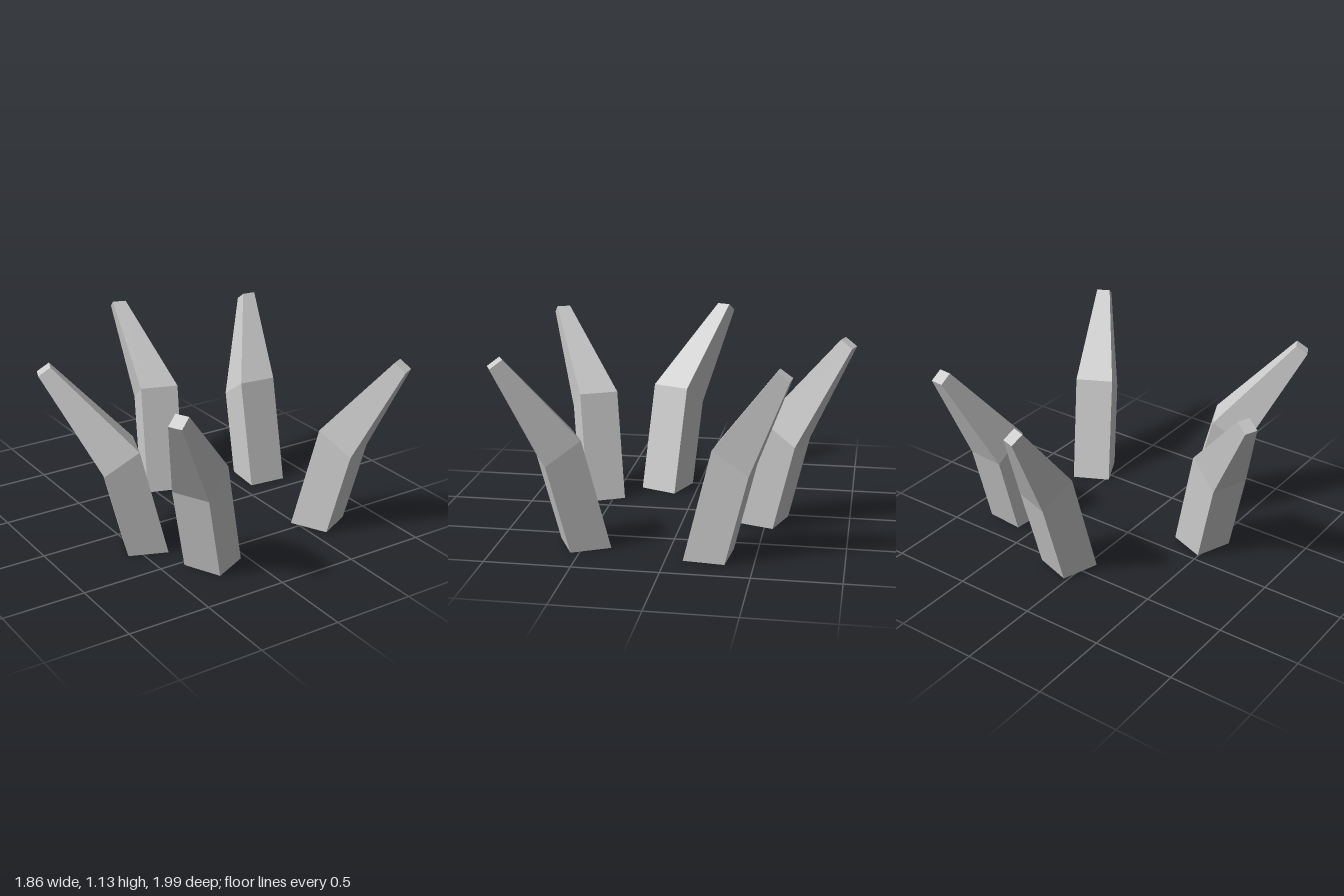
import * as THREE from 'three';

const material = new THREE.MeshStandardMaterial({ color: 0xcccccc, flatShading: true });

// A bent, tapering claw: local +z points outward, inner base edge sits on z = 0.
function clawGeometry(tipReach, tipShift) {
  // Cross-sections from base to tip
  const sections = [
    { half: 0.12, x: 0, innerZ: 0, outerZ: 0.24, innerY: 0, outerY: 0 },
    { half: 0.12, x: 0, innerZ: 0.163, outerZ: 0.37, innerY: 0.66, outerY: 0.525 },
    { half: 0.042, x: tipShift, innerZ: tipReach, outerZ: tipReach + 0.071, innerY: 1.135, outerY: 1.087 },
  ];
  const geometry = new THREE.BoxGeometry(2, 2, 2, 1, 2, 1);
  const p = geometry.attributes.position;
  for (let i = 0; i < p.count; i++) {
    const s = sections[Math.round(p.getY(i)) + 1];
    const outer = p.getZ(i) > 0;
    p.setXYZ(i, s.x + Math.sign(p.getX(i)) * s.half, outer ? s.outerY : s.innerY, outer ? s.outerZ : s.innerZ);
  }
  geometry.computeVertexNormals();
  return geometry;
}

export function createModel() {
  const model = new THREE.Group();
  model.name = 'clawRing';

  // Base position, heading, and how far each tip leans outward and sideways
  const claws = [
    { name: 'backClaw', x: 0.064, z: -0.36, turn: 2.826, reach: 0.538, shift: 0.175 },
    { name: 'rightClaw', x: -0.315, z: 0.243, turn: -1.936, reach: 0.629, shift: -0.132 },
    { name: 'frontRightClaw', x: -0.092, z: 0.537, turn: -1.12, reach: 0.638, shift: 0.115 },
    { name: 'backLeftClaw', x: 0.698, z: -0.111, turn: 3.045, reach: 0.525, shift: -0.13 },
    { name: 'frontLeftClaw', x: 0.585, z: 0.389, turn: 0.465, reach: 0.571, shift: 0.005 },
  ];
  for (const c of claws) {
    const mesh = new THREE.Mesh(clawGeometry(c.reach, c.shift), material);
    mesh.name = c.name;
    mesh.position.set(c.x, 0, c.z);
    mesh.rotation.y = c.turn;
    model.add(mesh);
  }
  return model;
}
